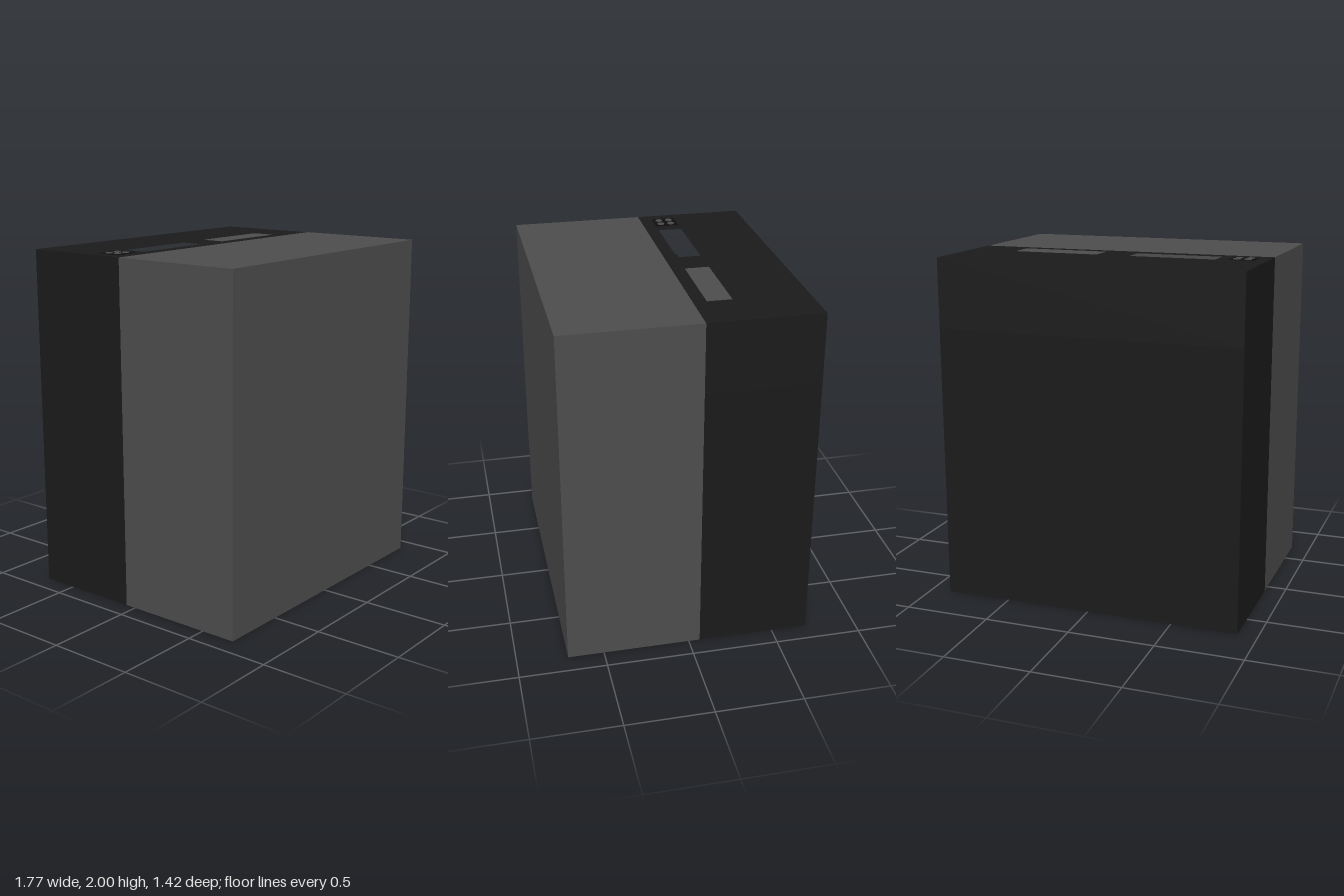
import * as THREE from 'three';

const mat = (color) => new THREE.MeshStandardMaterial({ color });

export function createModel() {
  const group = new THREE.Group();
  const grey = mat(0x4d4d4d), dark = mat(0x1a1a1a), black = mat(0x0f0f0f), pale = mat(0xb3b3b3);
  const W = 0.885, BACK = -0.708, SPLIT = -0.065, FRONT = 0.708, TOP = 1.994, DEPTH = 0.4;

  const add = (name, geometry, material) => {
    const mesh = new THREE.Mesh(geometry, material);
    mesh.name = name;
    group.add(mesh);
    return mesh;
  };
  // Box given by its limits on each axis
  const box = (name, [x0, x1], [y0, y1], [z0, z1], material) =>
    add(name, new THREE.BoxGeometry(x1 - x0, y1 - y0, z1 - z0), material)
      .position.set((x0 + x1) / 2, (y0 + y1) / 2, (z0 + z1) / 2);
  const rectangle = (Type, x0, x1, z0, z1) => new Type([
    new THREE.Vector2(x0, -z0), new THREE.Vector2(x1, -z0),
    new THREE.Vector2(x1, -z1), new THREE.Vector2(x0, -z1),
  ]);

  // Two-tone casing
  box('frontCasing', [-W, W], [0, TOP], [SPLIT, FRONT], grey);
  box('rearCasingLower', [-W, W], [0, TOP - DEPTH], [BACK, SPLIT], dark);

  // Upper rear casing, pierced by the socket
  const shape = rectangle(THREE.Shape, -W, W, BACK, SPLIT);
  shape.holes.push(rectangle(THREE.Path, -0.6, -0.1, -0.28, -0.14));
  const upper = new THREE.ExtrudeGeometry(shape, { depth: DEPTH, bevelEnabled: false });
  upper.rotateX(-Math.PI / 2).translate(0, TOP - DEPTH, 0);
  add('rearCasingUpper', upper, dark);

  // Socket: pale floor and a stepped dark tongue along the front wall
  const floor = TOP - DEPTH;
  box('socketFloor', [-0.6, -0.1], [floor, floor + 0.01], [-0.28, -0.14], pale);
  box('socketTongue', [-0.6, -0.1], [floor, TOP - 0.15], [-0.237, -0.14], dark);
  box('socketTongueLip', [-0.565, -0.135], [floor, TOP - 0.15], [-0.246, -0.237], dark);

  // Flush cover beside the socket
  box('coverPanel', [0.095, 0.597], [TOP - 0.02, TOP + 0.002], [-0.28, -0.14], grey);

  // Indicator plate with four round lamps
  box('indicatorPlate', [-0.815, -0.673], [TOP - 0.02, TOP + 0.002], [-0.28, -0.14], black);
  for (const x of [-0.776, -0.712]) {
    for (const z of [-0.239, -0.177]) {
      add('indicatorLamp', new THREE.CylinderGeometry(0.021, 0.021, 0.02, 24), grey)
        .position.set(x, 1.99, z);
    }
  }
  return group;
}
